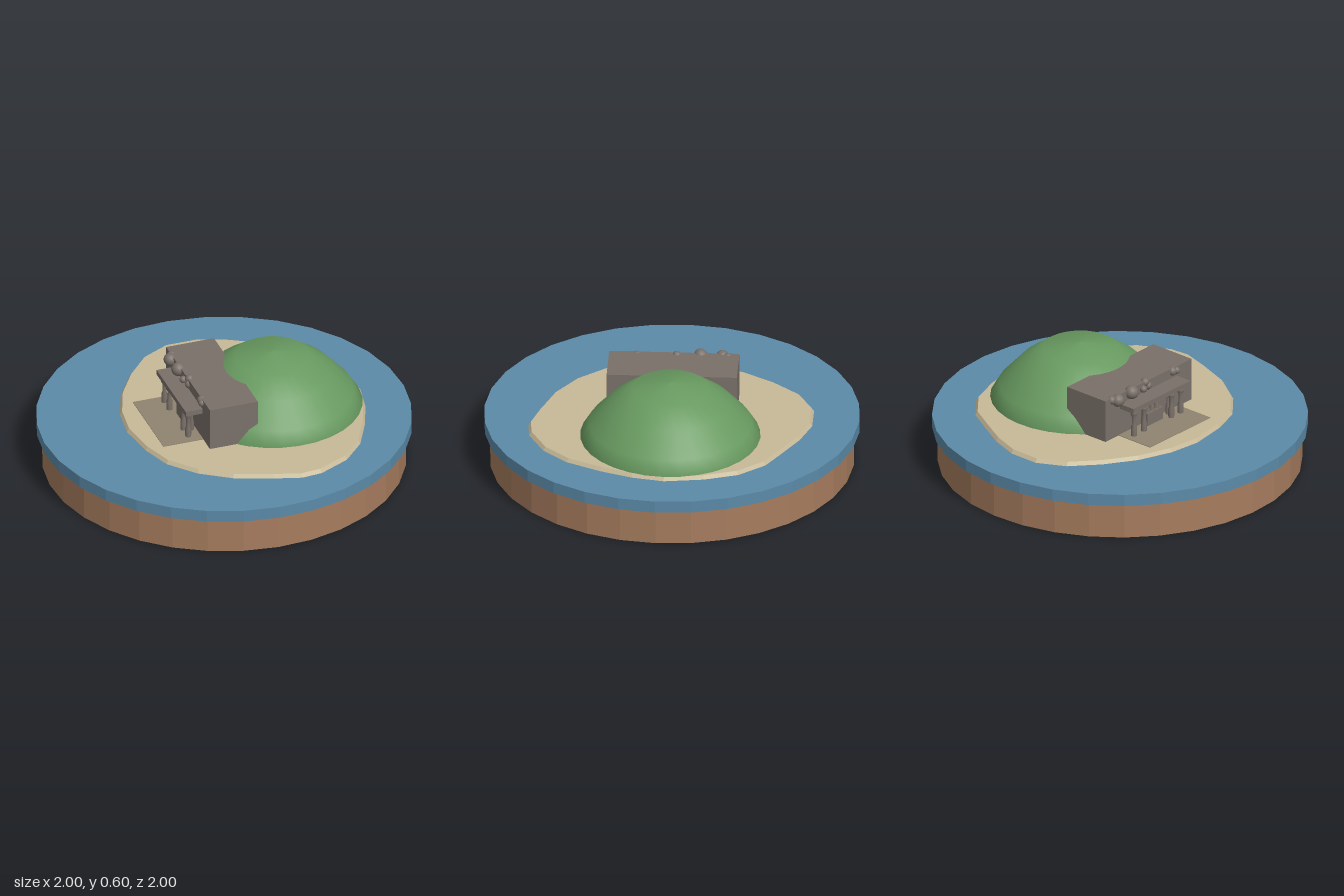
import * as THREE from 'three';

const flat = (name, color) => {
  const m = new THREE.MeshStandardMaterial({ color });
  m.name = name;
  return m;
};

export function createModel() {
  const soil = flat('soil', 0xa67c5e);
  const water = flat('water', 0x5b8aa8);
  const sand = flat('sand', 0xc8ba98);
  const grass = flat('grass', 0x689a60);
  const stone = flat('stone', 0x7a7069);
  const paving = flat('paving', 0x8f8470);
  soil.flatShading = water.flatShading = sand.flatShading = true;

  const model = new THREE.Group();
  model.name = 'islandTemple';

  const add = (parent, name, geometry, material, x = 0, y = 0, z = 0) => {
    const mesh = new THREE.Mesh(geometry, material);
    mesh.name = name;
    mesh.position.set(x, y, z);
    parent.add(mesh);
    return mesh;
  };

  // Round base and the sea disc on top of it
  add(model, 'base', new THREE.CylinderGeometry(0.97, 0.97, 0.2, 32), soil, 0, 0.1, 0);
  add(model, 'sea', new THREE.CylinderGeometry(1, 1, 0.066, 32), water, 0, 0.233, 0);

  // Irregular beach with a sloped rim, outline given as (x, z)
  const outline = [
    [0.06, -0.765], [-0.13, -0.77], [-0.3, -0.71], [-0.42, -0.61], [-0.56, -0.49], [-0.67, -0.36],
    [-0.73, -0.2], [-0.71, -0.03], [-0.62, 0.14], [-0.5, 0.3], [-0.35, 0.43], [-0.19, 0.515],
    [0.02, 0.56], [0.2, 0.565], [0.38, 0.5], [0.54, 0.385], [0.68, 0.22], [0.77, 0.1],
    [0.8, -0.01], [0.78, -0.2], [0.7, -0.36], [0.56, -0.51], [0.42, -0.63], [0.27, -0.72],
  ].map(([x, z]) => new THREE.Vector2(x, -z));
  const beach = new THREE.ExtrudeGeometry(new THREE.Shape(outline), { depth: 0.022, bevelEnabled: false });
  const p = beach.attributes.position;
  for (let i = 0; i < p.count; i++) {
    if (p.getZ(i) > 0.01) p.setXY(i, 0.035 + (p.getX(i) - 0.035) * 0.98, 0.1 + (p.getY(i) - 0.1) * 0.98);
  }
  beach.rotateX(-Math.PI / 2);
  beach.computeVertexNormals();
  add(model, 'beach', beach, sand, 0, 0.264, 0);

  // Smooth dome hill, turned slightly under at its rim
  const dome = [[0, 0.266], [0.455, 0.266], [0.48, 0.286], [0.435, 0.36], [0.325, 0.48], [0.2, 0.57], [0, 0.6]];
  const hill = new THREE.LatheGeometry(dome.map(([r, y]) => new THREE.Vector2(r, y)), 32);
  add(model, 'hill', hill, grass, 0.09, 0, -0.26);

  // Temple group, local +z is its entrance side
  const temple = new THREE.Group();
  temple.name = 'temple';
  temple.position.set(-0.025, 0, 0.0625);
  temple.rotation.y = -THREE.MathUtils.degToRad(20.2);
  model.add(temple);
  const box = (name, w, h, d, x, y, z, m = stone) =>
    add(temple, name, new THREE.BoxGeometry(w, h, d), m, x, y, z);

  box('hall', 0.693, 0.245, 0.27, 0, 0.4025, 0);
  box('terrace', 0.484, 0.006, 0.24, 0, 0.286, 0.24, paving);
  box('porchRoof', 0.46, 0.028, 0.1, 0, 0.454, 0.18);
  box('altar', 0.125, 0.075, 0.05, 0.005, 0.322, 0.155);

  // Four porch columns with rounded feet and capitals
  const column = new THREE.LatheGeometry([
    [0.016, 0.283], [0.017, 0.335], [0.012, 0.35], [0.011, 0.4], [0.019, 0.415], [0.019, 0.428], [0.012, 0.442],
  ].map(([r, y]) => new THREE.Vector2(r, y)), 12);
  for (const x of [-0.19, -0.11, 0.11, 0.185]) add(temple, 'column', column, stone, x, 0, 0.2);
  add(temple, 'innerColumn', column, stone, 0.128, 0, 0.16).scale.set(0.7, 1, 0.7);

  // Three small statues on the altar
  for (const x of [-0.035, 0.002, 0.039]) {
    add(temple, 'statueBody', new THREE.CylinderGeometry(0.009, 0.016, 0.055, 10), stone, x, 0.385, 0.158);
    add(temple, 'statueHead', new THREE.SphereGeometry(0.016, 10, 8), stone, x, 0.418, 0.158);
  }

  // Round stones along the hall front: world x, y, z and radius
  const boulders = [
    [-0.337, 0.508, 0.082, 0.024], [-0.315, 0.502, 0.11, 0.035], [-0.205, 0.507, 0.145, 0.038],
    [-0.122, 0.494, 0.18, 0.02], [-0.08, 0.515, 0.172, 0.024], [-0.068, 0.492, 0.185, 0.022],
    [0.116, 0.505, 0.252, 0.025], [0.138, 0.503, 0.268, 0.02],
  ];
  for (const [x, y, z, r] of boulders) add(model, 'boulder', new THREE.SphereGeometry(r, 14, 10), stone, x, y, z);

  return model;
}
